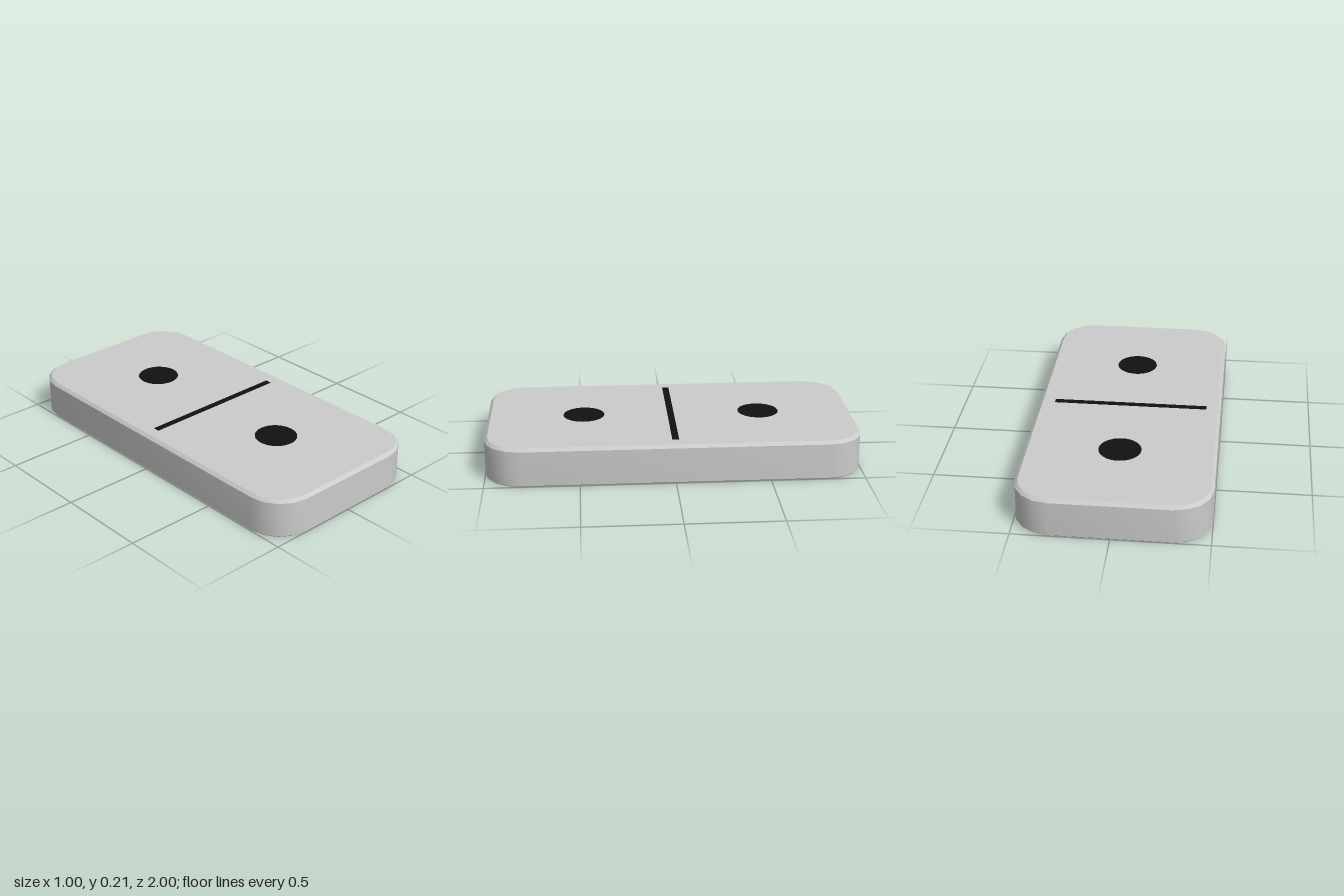
import * as THREE from 'three';
import { toCreasedNormals } from 'three/addons/utils/BufferGeometryUtils.js';

const HEIGHT = 0.211, HALF_X = 0.5, HALF_Z = 1, RADIUS = 0.195, STEPS = 4;

// Rounded-rectangle loop at height y, pulled inward by inset
function ring(y, inset) {
  const points = [], r = RADIUS - inset;
  [[1, 1], [-1, 1], [-1, -1], [1, -1]].forEach(([sx, sz], corner) => {
    for (let i = 0; i <= STEPS; i++) {
      const a = (corner + i / STEPS) * Math.PI / 2;
      points.push(new THREE.Vector3(
        sx * (HALF_X - RADIUS) + r * Math.cos(a), y,
        sz * (HALF_Z - RADIUS) + r * Math.sin(a)));
    }
  });
  return points;
}

// Closed solid through a stack of loops, bottom to top
function loft(rings) {
  const pos = [];
  const tri = (...corners) => corners.forEach(p => pos.push(p.x, p.y, p.z));
  const n = rings[0].length;
  const low = rings[0], top = rings[rings.length - 1];
  const lowMid = new THREE.Vector3(0, low[0].y, 0);
  const topMid = new THREE.Vector3(0, top[0].y, 0);
  for (let i = 0; i < n; i++) {
    const j = (i + 1) % n;
    for (let k = 0; k < rings.length - 1; k++) {
      const a = rings[k], b = rings[k + 1];
      tri(a[i], b[i], b[j]);
      tri(a[i], b[j], a[j]);
    }
    tri(lowMid, low[i], low[j]);
    tri(topMid, top[j], top[i]);
  }
  const geometry = new THREE.BufferGeometry();
  geometry.setAttribute('position', new THREE.Float32BufferAttribute(pos, 3));
  return toCreasedNormals(geometry, 0.5);
}

export function createModel() {
  const model = new THREE.Group();
  model.name = 'domino';
  const grey = new THREE.MeshStandardMaterial({ color: 0xcccccc });
  const black = new THREE.MeshStandardMaterial({ color: 0x111111 });

  const add = (name, geometry, material, x, y, z) => {
    const mesh = new THREE.Mesh(geometry, material);
    mesh.name = name;
    mesh.position.set(x, y, z);
    model.add(mesh);
  };

  // Tile with a chamfered upper rim and a fine lower edge
  add('tile', loft([
    ring(0.001, 0.005), ring(0.006, 0), ring(0.194, 0), ring(HEIGHT - 0.001, 0.017),
  ]), grey, 0, 0, 0);

  // Inlaid marks pass right through, showing on both faces
  const pip = new THREE.CylinderGeometry(0.112, 0.112, HEIGHT, 32);
  add('backPip', pip, black, 0.003, HEIGHT / 2, -0.488);
  add('frontPip', pip, black, 0.003, HEIGHT / 2, 0.473);
  add('dividerBar', new THREE.BoxGeometry(0.836, HEIGHT, 0.036), black, -0.003, HEIGHT / 2, -0.003);

  return model;
}
